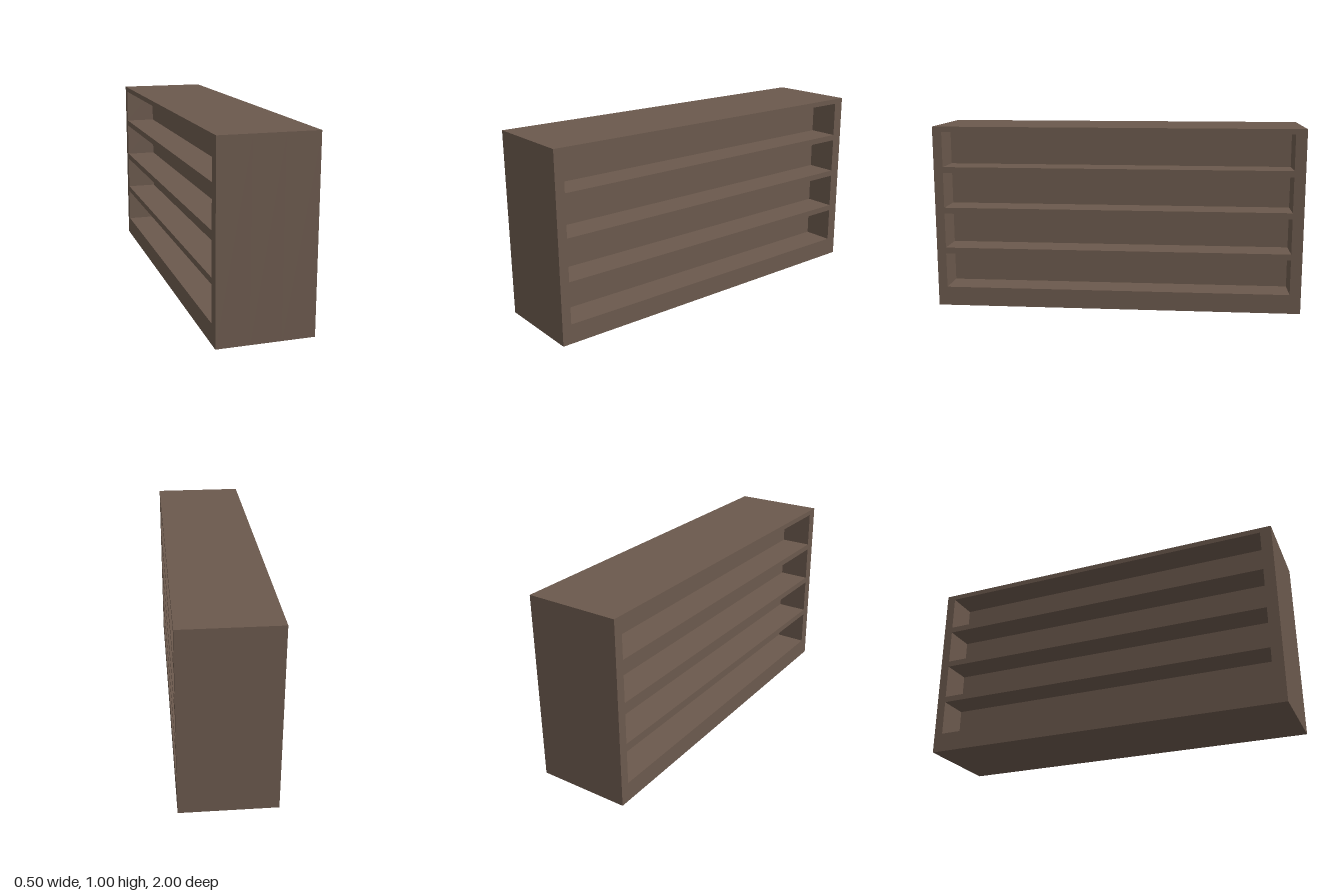
import * as THREE from 'three';

const WIDTH = 0.5, HEIGHT = 1, LENGTH = 2;
const BAY_DEPTH = 0.17, BAY_HEIGHT = 0.192, BAY_PITCH = 0.225, FIRST_BAY = 0.105;

export function createModel() {
  const wood = new THREE.MeshStandardMaterial({ color: 0x6b594d });
  wood.name = 'brown wood';
  const model = new THREE.Group();
  model.name = 'doubleSidedShelf';

  // Solid divider between the two sets of shelves
  const coreWidth = WIDTH - 2 * BAY_DEPTH;
  const core = new THREE.Mesh(new THREE.BoxGeometry(coreWidth, HEIGHT, LENGTH), wood);
  core.name = 'centralDivider';
  core.position.y = HEIGHT / 2;
  model.add(core);

  // Shelf frame: a slab pierced by four long bays
  const rect = (Type, x0, y0, x1, y1) => new Type([
    new THREE.Vector2(x0, y0), new THREE.Vector2(x1, y0),
    new THREE.Vector2(x1, y1), new THREE.Vector2(x0, y1),
  ]);
  const outline = rect(THREE.Shape, -LENGTH / 2, 0, LENGTH / 2, HEIGHT);
  for (let i = 0; i < 4; i++) {
    const y = FIRST_BAY + i * BAY_PITCH;
    outline.holes.push(rect(THREE.Path, -0.95, y, 0.94, y + BAY_HEIGHT));
  }
  const frameGeometry = new THREE.ExtrudeGeometry(outline, { depth: BAY_DEPTH, bevelEnabled: false });
  frameGeometry.translate(0, 0, coreWidth / 2);

  // One frame facing each way
  for (const [name, side] of [['leftShelves', 1], ['rightShelves', -1]]) {
    const frame = new THREE.Mesh(frameGeometry, wood);
    frame.name = name;
    frame.rotation.y = side * Math.PI / 2;
    model.add(frame);
  }
  return model;
}
